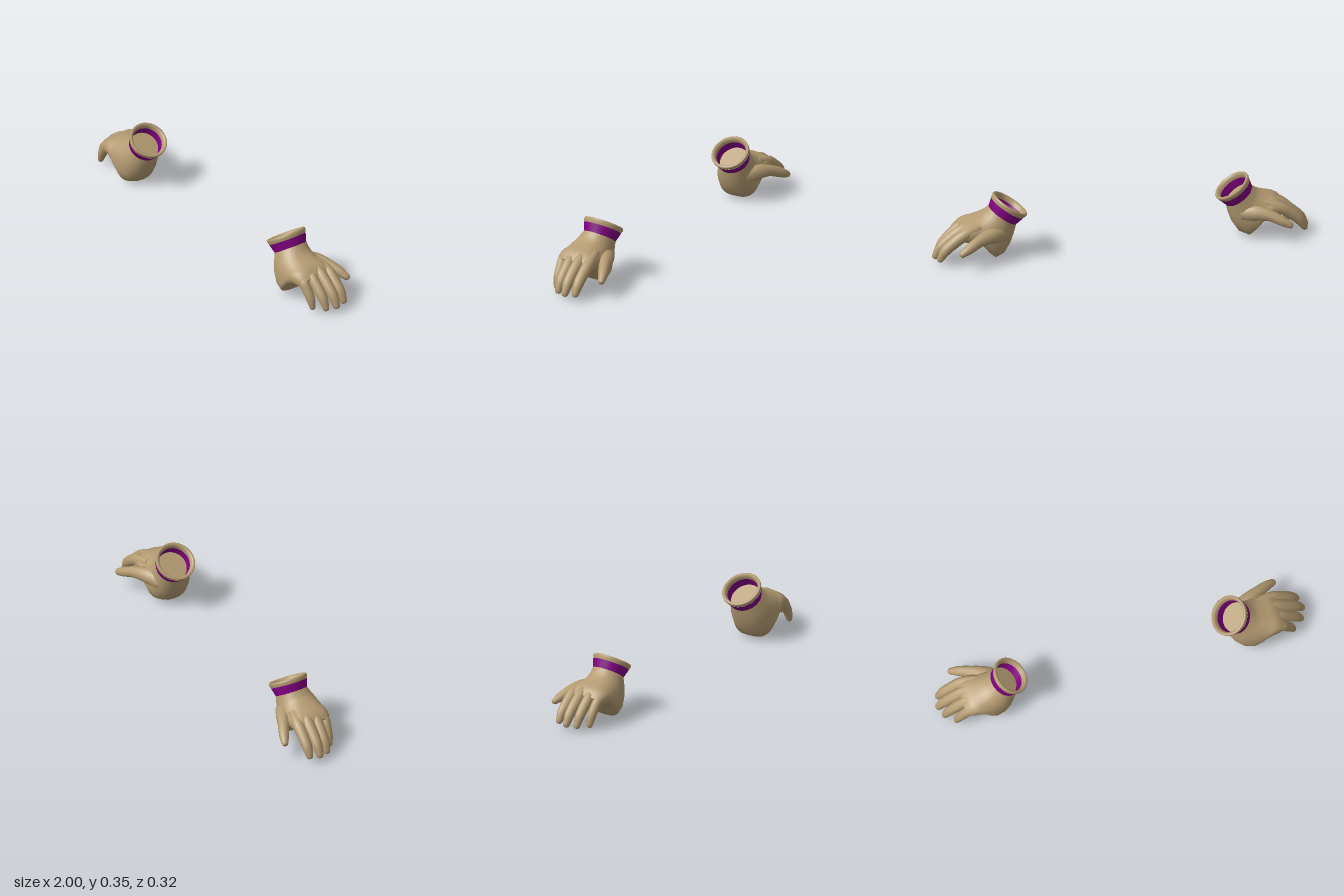
import * as THREE from 'three';

const V = (x, y, z) => new THREE.Vector3(x, y, z);

// Skin a list of rings (equal point counts) and close both ends.
function loft(rings) {
  const n = rings[0].length, pos = [], idx = [];
  rings.forEach(r => r.forEach(p => pos.push(p.x, p.y, p.z)));
  for (let i = 0; i < rings.length - 1; i++) {
    for (let j = 0; j < n; j++) {
      const k = (j + 1) % n, a = i * n + j, b = i * n + k;
      idx.push(a, b, a + n, b, b + n, a + n);
    }
  }
  [rings[0], rings[rings.length - 1]].forEach((ring, end) => {
    const c = ring.reduce((s, p) => s.add(p), V(0, 0, 0)).divideScalar(n);
    const base = pos.length / 3;
    [...ring, c].forEach(p => pos.push(p.x, p.y, p.z));
    for (let j = 0; j < n; j++) {
      const k = (j + 1) % n;
      if (end) idx.push(base + j, base + k, base + n);
      else idx.push(base + k, base + j, base + n);
    }
  });
  const g = new THREE.BufferGeometry();
  g.setAttribute('position', new THREE.Float32BufferAttribute(pos, 3));
  g.setIndex(idx);
  g.computeVertexNormals();
  return g;
}

// Palm section: top point, bottom point and z range, as a rounded box outline.
function section([tx, ty, bx, by, z0, z1, power]) {
  const ring = [], n = 28;
  const soft = v => Math.sign(v) * Math.pow(Math.abs(v), 2 / power);
  for (let j = 0; j < n; j++) {
    const a = j / n * Math.PI * 2, c = soft(Math.cos(a)), s = soft(Math.sin(a));
    ring.push(V((tx + bx) / 2 + (tx - bx) / 2 * c, (ty + by) / 2 + (ty - by) / 2 * c,
      (z0 + z1) / 2 + (z1 - z0) / 2 * s));
  }
  return ring;
}

// Tapered digit along a smooth path with a rounded tip.
function digit(points, radii) {
  const curve = new THREE.CatmullRomCurve3(points), steps = 14, n = 10, rings = [];
  const ring = (c, t, r) => {
    const u = V(0, 0, 1).cross(t).normalize(), v = t.clone().cross(u);
    return Array.from({ length: n }, (_, j) => {
      const a = j / n * Math.PI * 2;
      return c.clone().addScaledVector(u, r * Math.cos(a)).addScaledVector(v, r * Math.sin(a));
    });
  };
  for (let i = 0; i <= steps; i++) {
    const f = i / steps, k = f * (radii.length - 1), m = Math.min(Math.floor(k), radii.length - 2);
    rings.push(ring(curve.getPoint(f), curve.getTangent(f), THREE.MathUtils.lerp(radii[m], radii[m + 1], k - m)));
  }
  const end = curve.getPoint(1), t = curve.getTangent(1), r = radii[radii.length - 1];
  [[0.5, 0.85], [0.85, 0.5]].forEach(([d, s]) =>
    rings.push(ring(end.clone().addScaledVector(t, r * d), t, r * s)));
  return loft(rings);
}

// Cuff ring around the tilted wrist axis.
function cuffRing(profile) {
  const g = new THREE.LatheGeometry(profile.map(p => new THREE.Vector2(...p)), 32);
  return g.rotateZ(0.59).translate(0.578, 0.289, 0.035);
}

export function createModel() {
  const skin = new THREE.MeshStandardMaterial({ color: 0xb49b72 });
  const purple = new THREE.MeshStandardMaterial({ color: 0x800080 });
  skin.name = 'tan skin';
  purple.name = 'purple band';
  const model = new THREE.Group();

  function buildHand(name, side) {
    const hand = new THREE.Group();
    hand.name = name;
    const add = (part, g, material) => {
      if (side < 0) {
        // The right hand is mirrored and slightly smaller.
        g.translate(-1, 0, 0).scale(-0.955, 0.965, 0.97).translate(-1, 0, 0);
        const ix = g.index.array;
        for (let i = 0; i < ix.length; i += 3) [ix[i], ix[i + 1]] = [ix[i + 1], ix[i]];
      }
      const mesh = new THREE.Mesh(g, material);
      mesh.name = part;
      hand.add(mesh);
    };

    // Palm, from wrist over the heel to the knuckles
    add('palm', loft([
      [0.690, 0.279, 0.548, 0.180, -0.052, 0.122, 2],
      [0.712, 0.258, 0.560, 0.130, -0.056, 0.138, 2.1],
      [0.730, 0.245, 0.580, 0.075, -0.062, 0.152, 2.2],
      [0.750, 0.236, 0.615, 0.022, -0.070, 0.160, 2.4],
      [0.770, 0.229, 0.662, 0.000, -0.072, 0.163, 2.5],
      [0.785, 0.224, 0.695, 0.030, -0.072, 0.162, 2.5],
      [0.800, 0.219, 0.728, 0.074, -0.072, 0.160, 2.5],
      [0.820, 0.212, 0.770, 0.102, -0.072, 0.156, 2.5],
      [0.845, 0.198, 0.815, 0.106, -0.070, 0.150, 2.5],
      [0.865, 0.175, 0.845, 0.115, -0.060, 0.138, 2.5]
    ].map(section)), skin);

    // Fingers: knuckle z, tip z, tip x, tip y, knuckle drop, thickness
    [
      ['indexFinger', -0.042, -0.046, 0.968, 0.042, 0.008, 1],
      ['middleFinger', 0.012, 0.010, 0.982, 0.038, 0, 1.02],
      ['ringFinger', 0.066, 0.064, 0.962, 0.034, 0.004, 0.96],
      ['littleFinger', 0.117, 0.110, 0.908, 0.032, 0.018, 0.88]
    ].forEach(([part, z0, z1, x, y, drop, s]) => {
      const kx = 0.835, ky = 0.172 - drop;
      const at = (fx, fy) => V(kx + (x - kx) * fx, ky + (y - ky) * fy, z0 + (z1 - z0) * fx);
      add(part, digit(
        [V(0.75, 0.198 - drop, z0 * 0.8 + 0.008), V(kx, ky, z0), at(0.42, 0.3), at(0.8, 0.66), at(1, 1)],
        [0.026, 0.032, 0.031, 0.028, 0.019].map(r => r * s)), skin);
    });

    // Thumb, spreading backward from the heel
    add('thumb', digit(
      [V(0.64, 0.14, -0.015), V(0.70, 0.152, -0.058), V(0.77, 0.145, -0.096), V(0.83, 0.12, -0.126), V(0.868, 0.102, -0.142)],
      [0.050, 0.043, 0.031, 0.027, 0.019]), skin);

    // Hollow cuff with flared rim and band
    add('cuffRim', cuffRing([[0.100, -0.027], [0.106, -0.012], [0.106, -0.003], [0.102, 0.001],
      [0.092, 0], [0.086, -0.012], [0.084, -0.027]]), skin);
    add('cuffBand', cuffRing([[0.087, -0.076], [0.093, -0.055], [0.101, -0.027]]), purple);
    add('cuffBandInside', cuffRing([[0.084, -0.027], [0.081, -0.05], [0.080, -0.078]]), purple);
    model.add(hand);
  }

  buildHand('leftHand', 1);
  buildHand('rightHand', -1);
  return model;
}
